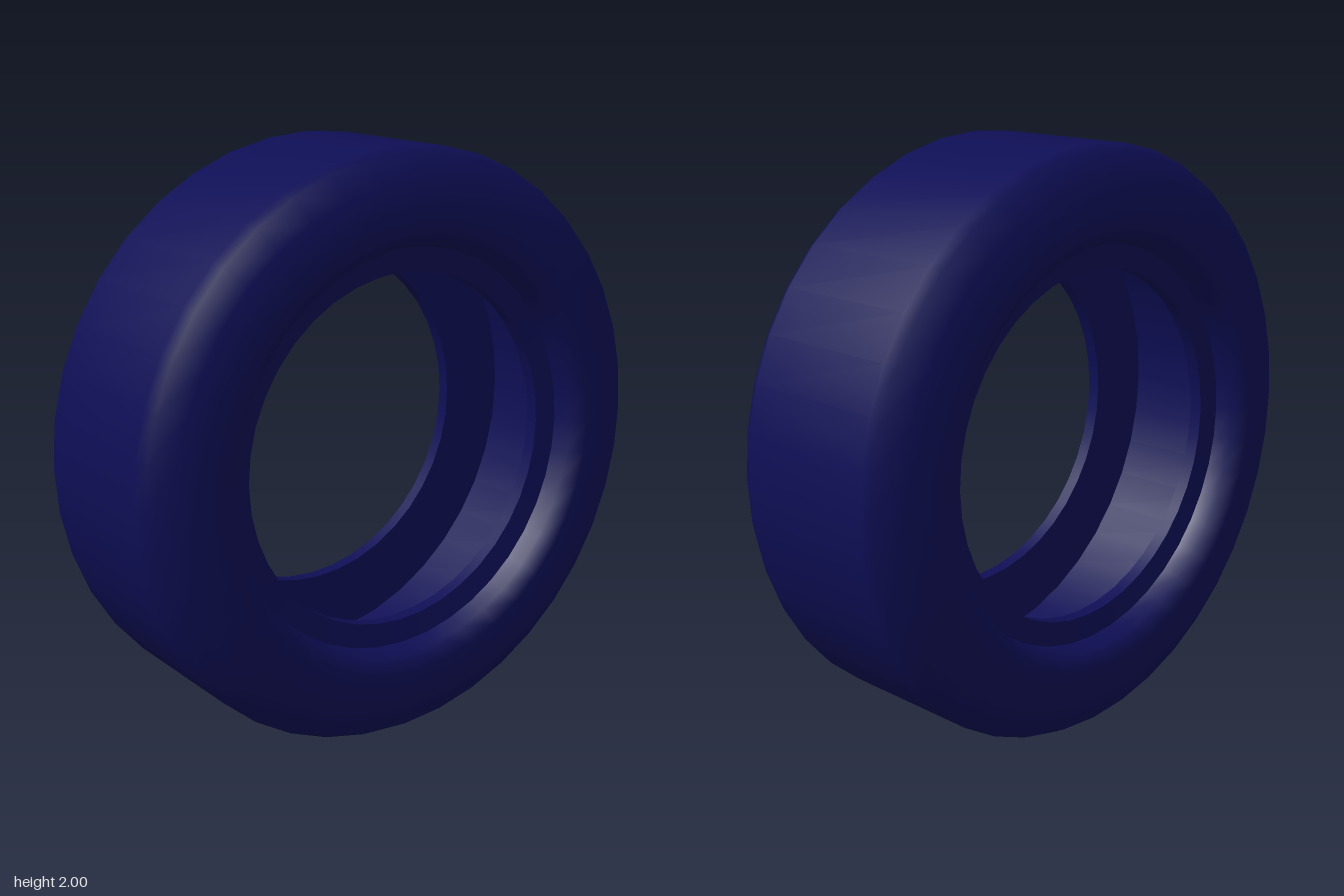
import * as THREE from 'three';

const SEGMENTS = 40;

export function createModel() {
  const model = new THREE.Group();
  model.name = 'tyre';
  const rubber = new THREE.MeshStandardMaterial({ color: 0x0e0e55 });

  // Revolves [radius, x] points around the x axis; smooth within one band, sharp between bands
  function band(name, points) {
    const geometry = new THREE.LatheGeometry(points.map(([r, x]) => new THREE.Vector2(r, x)), SEGMENTS);
    geometry.rotateZ(-Math.PI / 2);
    geometry.translate(0, 1, 0);
    const mesh = new THREE.Mesh(geometry, rubber);
    mesh.name = name;
    model.add(mesh);
  }
  // Same band on the other side, order reversed to keep it facing outwards
  const mirrored = (points) => points.map(([r, x]) => [r, -x]).reverse();

  // Rounded shoulder and sidewall, from tread edge to lip
  const shoulder = [[1, 0.26], [0.98, 0.295], [0.9, 0.345], [0.75, 0.37], [0.695, 0.335], [0.68, 0.275]];
  band('treadAndSidewalls', [...mirrored(shoulder), ...shoulder]);

  // Bead on each side: flat outer lip, inner edge, wall of the cavity
  const bead = {
    lip: [[0.68, 0.275], [0.6, 0.265]],
    beadEdge: [[0.6, 0.265], [0.6, 0.22]],
    innerWall: [[0.6, 0.22], [0.84, 0.22]],
  };
  for (const [name, points] of Object.entries(bead)) {
    band(name + 'Left', points);
    band(name + 'Right', mirrored(points));
  }

  // Inside of the tread
  band('innerLining', [[0.84, 0.22], [0.84, -0.22]]);

  return model;
}
